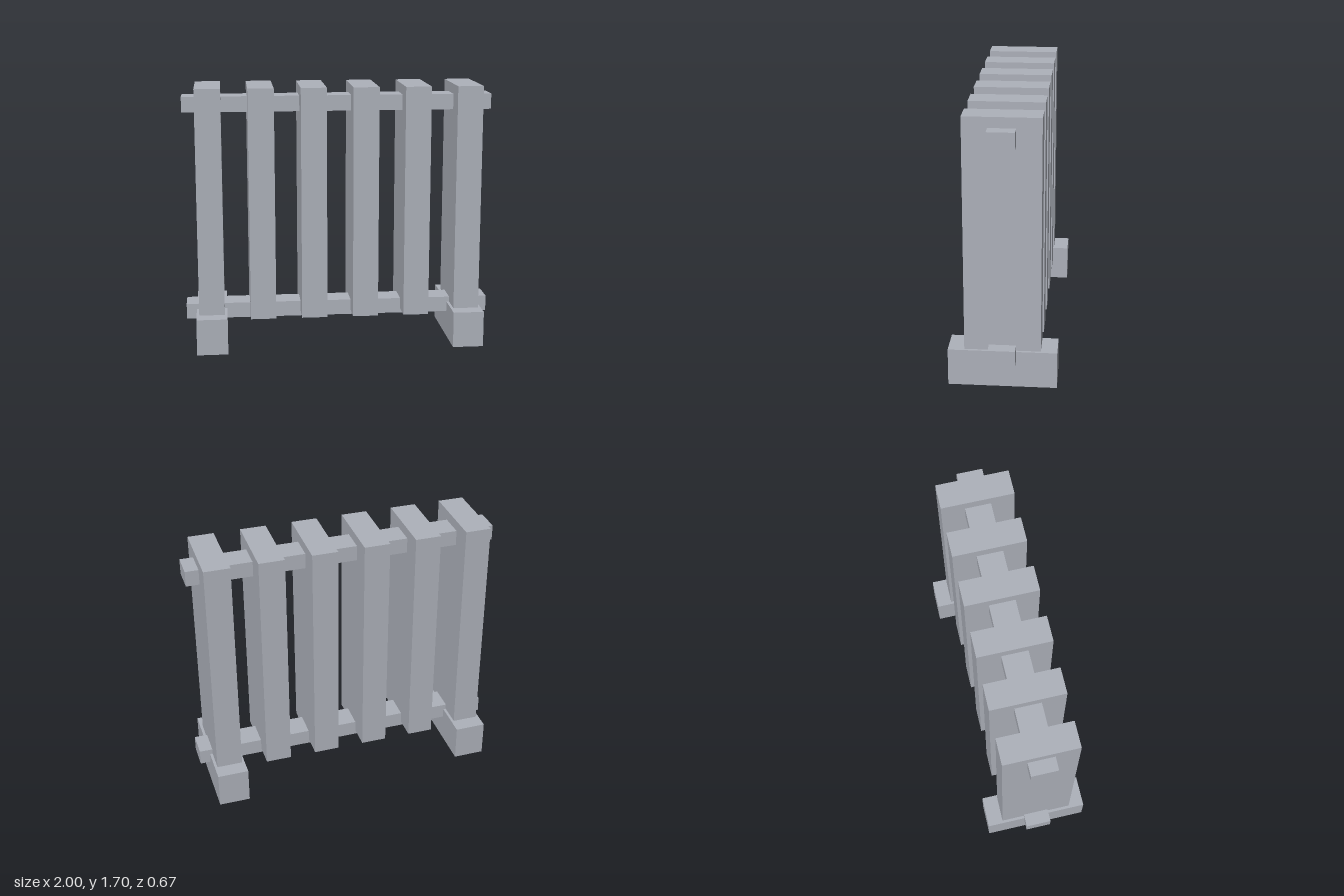
import * as THREE from 'three';

export function createModel() {
  const group = new THREE.Group();
  const grey = new THREE.MeshStandardMaterial({ color: 0xadb1ba });
  grey.name = 'light grey metal';

  // Box standing on height y, centred on x and z = 0
  function box(name, width, height, depth, x, y) {
    const mesh = new THREE.Mesh(new THREE.BoxGeometry(width, height, depth), grey);
    mesh.name = name;
    mesh.position.set(x, y + height / 2, 0);
    group.add(mesh);
  }

  // Six evenly spaced radiator columns
  for (let i = 0; i < 6; i++) box('column', 0.165, 1.5, 0.466, (i - 2.5) / 3, 0.2);

  // Pipes running through all the columns
  box('upperPipe', 2, 0.1, 0.166, 0, 1.535);
  box('lowerPipe', 2, 0.1, 0.166, 0, 0.17);

  // Feet under the outer columns
  for (const side of [-1, 1]) {
    box(side > 0 ? 'leftFoot' : 'rightFoot', 0.2, 0.235, 0.666, side * 2.5 / 3, 0);
  }

  return group;
}
